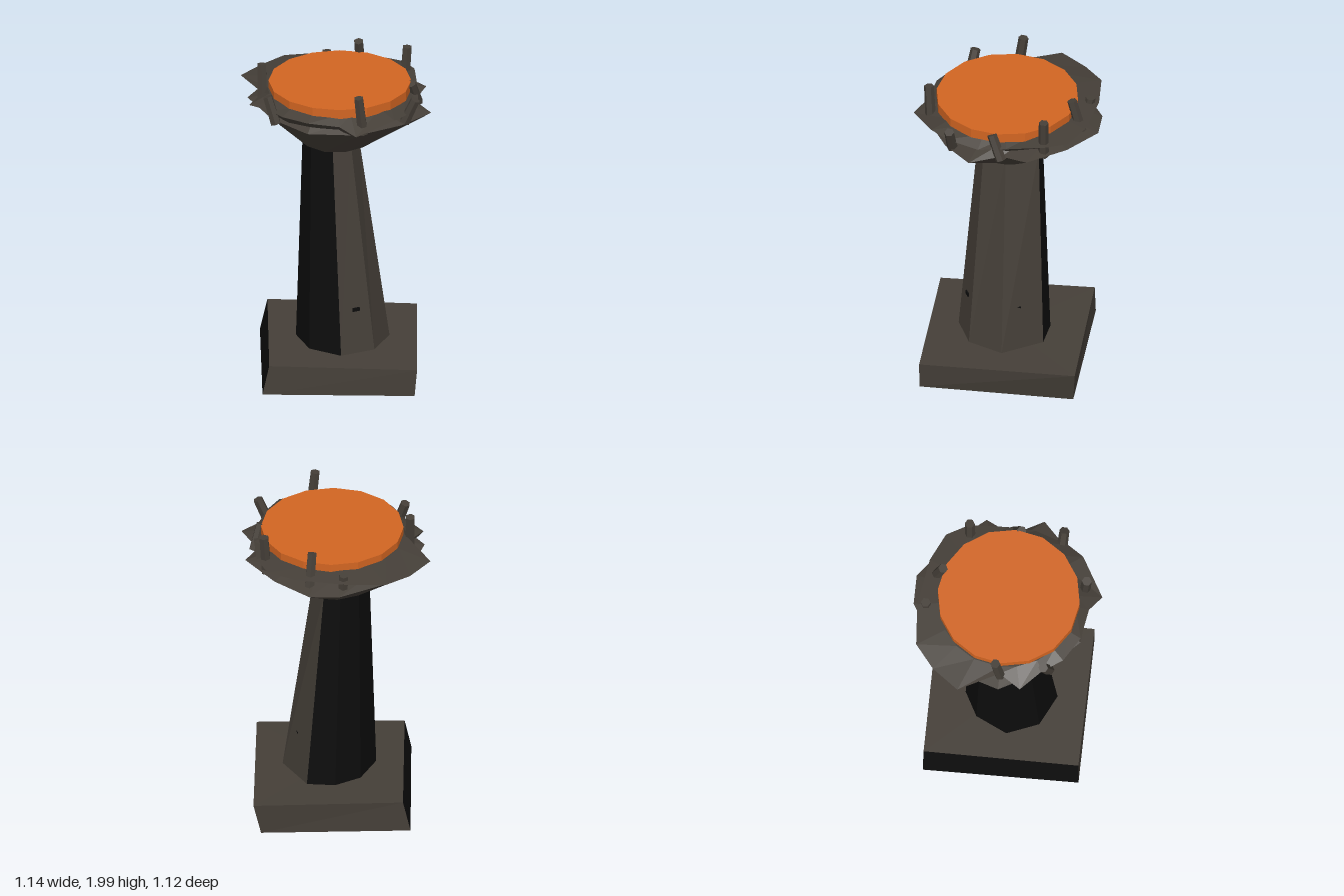
import * as THREE from 'three';

const stone = new THREE.MeshStandardMaterial({ color: 0x453f38 });
stone.name = 'stone';
const soot = new THREE.MeshStandardMaterial({ color: 0x0c0c0c });
soot.name = 'soot';
const ember = new THREE.MeshStandardMaterial({ color: 0xd26522 });
ember.name = 'ember';
for (const m of [stone, soot, ember]) m.flatShading = true;

// Skin stacked rings of [x, y, z] points, capped at both ends; sooty sides use the second material
function loft(name, rings, sooty = () => false) {
  const n = rings[0].length;
  const faces = [[], []];
  const middle = (ring) => [0, 1, 2].map((k) => ring.reduce((s, p) => s + p[k], 0) / n);
  const first = rings[0], last = rings[rings.length - 1];
  const c0 = middle(first), c1 = middle(last);
  for (let i = 0; i < n; i++) {
    const j = (i + 1) % n;
    for (let r = 0; r + 1 < rings.length; r++) {
      const a = rings[r], b = rings[r + 1];
      faces[sooty(i) ? 1 : 0].push(a[i], b[i], a[j], a[j], b[i], b[j]);
    }
    faces[0].push(c0, first[i], first[j], c1, last[j], last[i]);
  }
  const g = new THREE.BufferGeometry();
  g.setAttribute('position', new THREE.Float32BufferAttribute(faces.flat(2), 3));
  g.addGroup(0, faces[0].length, 0);
  g.addGroup(faces[0].length, faces[1].length, 1);
  g.computeVertexNormals();
  const mesh = new THREE.Mesh(g, [stone, soot]);
  mesh.name = name;
  return mesh;
}

// Circle points at the same angles as a ragged outline
function circleFor(outline, radius, y) {
  return outline.map(([x, , z]) => {
    const a = Math.atan2(z, x);
    return [radius * Math.cos(a), y, radius * Math.sin(a)];
  });
}

// Six-sided peg between two points
function peg(from, to, radius = 0.033) {
  const a = new THREE.Vector3(...from), b = new THREE.Vector3(...to);
  const dir = b.clone().sub(a);
  const mesh = new THREE.Mesh(new THREE.CylinderGeometry(radius * 0.9, radius, dir.length(), 6), stone);
  mesh.position.copy(a).add(b).multiplyScalar(0.5);
  mesh.quaternion.setFromUnitVectors(new THREE.Vector3(0, 1, 0), dir.normalize());
  mesh.name = 'rimPeg';
  return mesh;
}

export function createModel() {
  const model = new THREE.Group();
  model.name = 'brazier';

  // Crooked base slab, sooty on its -x side
  model.add(loft('base', [
    [[-0.455, 0.04, -0.46], [0.44, 0.005, -0.45], [0.47, 0.03, 0.475], [-0.44, 0.04, 0.475]],
    [[-0.41, 0.238, -0.46], [0.485, 0.205, -0.465], [0.485, 0.2, 0.475], [-0.4, 0.225, 0.47]],
  ], (i) => i === 3));

  // Tapered eight-sided column, sooty on the back and -x sides
  const foot = [[0.03, 0.3], [-0.16, 0.21], [-0.24, 0.02], [-0.15, -0.17],
    [0, -0.25], [0.17, -0.23], [0.32, 0], [0.23, 0.21]];
  const head = [[-0.02, 0.19], [-0.15, 0.13], [-0.2, 0], [-0.14, -0.14],
    [-0.03, -0.2], [0.07, -0.19], [0.135, 0], [0.09, 0.14]];
  model.add(loft('column', [
    foot.map(([x, z]) => [x, 0.215, z]),
    head.map(([x, z]) => [x, 1.53, z]),
  ], (i) => i < 5));

  // Small dark chips in the column
  for (const [x, z, turn, w] of [[0.12, 0.235, 0.44, 0.045], [0.235, -0.08, 2.1, 0.05]]) {
    const chip = new THREE.Mesh(new THREE.BoxGeometry(w, 0.022, 0.009), soot);
    chip.position.set(x, 0.49, z);
    chip.rotation.y = turn;
    chip.name = 'columnChip';
    model.add(chip);
  }

  // Flared bowl with a ragged lip
  const lip = [[-0.03, 1.755, -0.56], [0.15, 1.755, -0.56], [0.36, 1.76, -0.4], [0.54, 1.77, -0.18],
    [0.47, 1.75, -0.02], [0.57, 1.755, 0.165], [0.4, 1.75, 0.33], [0.13, 1.75, 0.48],
    [-0.17, 1.75, 0.46], [-0.38, 1.75, 0.25], [-0.53, 1.78, 0], [-0.45, 1.75, -0.22],
    [-0.34, 1.75, -0.38]];
  model.add(loft('bowl', [circleFor(lip, 0.205, 1.51), lip, circleFor(lip, 0.4, 1.8)]));

  // Jagged rim sitting on the bowl
  const edge = [[-0.06, 1.83, -0.535], [0.23, 1.83, -0.49], [0.4, 1.83, -0.41], [0.47, 1.84, -0.28],
    [0.49, 1.82, -0.05], [0.49, 1.8, 0.12], [0.42, 1.81, 0.32], [0.35, 1.82, 0.42],
    [0.12, 1.775, 0.56], [0.02, 1.81, 0.49], [-0.17, 1.82, 0.46], [-0.32, 1.82, 0.37],
    [-0.4, 1.81, 0.25], [-0.52, 1.79, 0.13], [-0.44, 1.81, 0], [-0.57, 1.815, -0.24],
    [-0.45, 1.81, -0.4], [-0.31, 1.82, -0.515]];
  model.add(loft('rim', [circleFor(edge, 0.42, 1.755), edge, circleFor(edge, 0.41, 1.85)]));

  // Glowing sixteen-sided disc
  const disc = new THREE.Mesh(new THREE.CylinderGeometry(0.427, 0.427, 0.06, 16), ember);
  disc.position.set(0.023, 1.866, 0.007);
  disc.name = 'emberDisc';
  model.add(disc);

  // Pegs driven through the rim
  for (const [from, to] of [
    [[0.16, 1.75, 0.45], [0.135, 1.99, 0.465]],
    [[-0.36, 1.74, 0.29], [-0.41, 1.905, 0.26]],
    [[-0.44, 1.74, 0.01], [-0.445, 1.99, -0.025]],
    [[0.41, 1.74, -0.265], [0.427, 1.99, -0.27]],
    [[0.15, 1.75, -0.46], [0.135, 1.965, -0.4]],
    [[-0.05, 1.74, -0.47], [-0.055, 1.865, -0.485]],
    [[0.49, 1.74, -0.02], [0.45, 1.89, 0.04]],
    [[0.41, 1.75, 0.285], [0.475, 1.9, 0.295]],
  ]) model.add(peg(from, to));

  return model;
}
